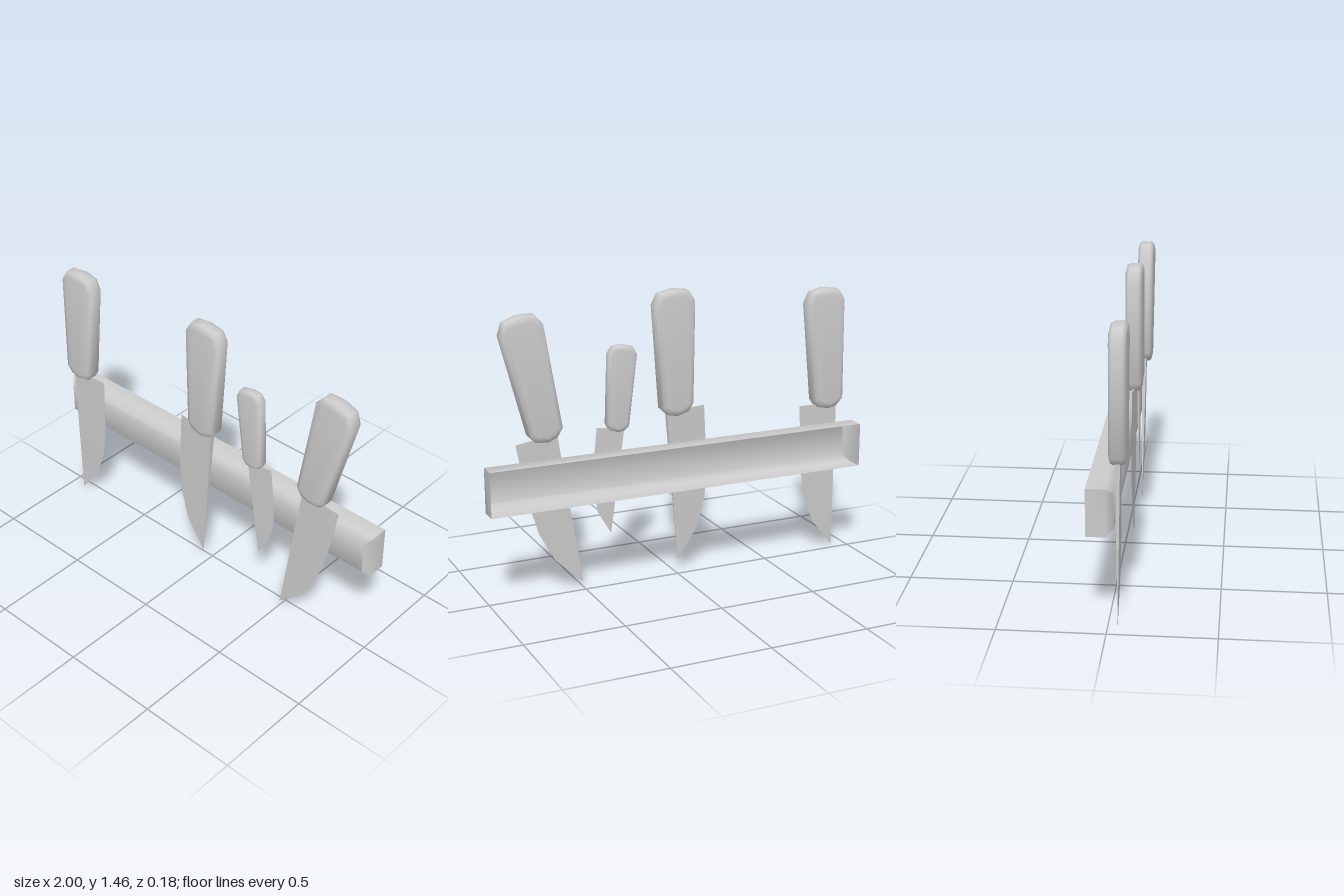
import * as THREE from 'three';
import { toCreasedNormals } from 'three/addons/utils/BufferGeometryUtils.js';

const grey = new THREE.MeshStandardMaterial({ color: 0xcccccc });
const greyDouble = new THREE.MeshStandardMaterial({ color: 0xcccccc, side: THREE.DoubleSide });

function indexed(positions, index) {
  const g = new THREE.BufferGeometry();
  g.setAttribute('position', new THREE.Float32BufferAttribute(positions, 3));
  g.setIndex(index);
  return g;
}

// Wall bar: a shell open at the back, with chamfered front edges
function rackGeometry() {
  const rings = [[0, -0.09], [0, 0.0], [0.03, 0.033]]; // inset, z
  const positions = [], index = [];
  for (const [inset, z] of rings) {
    const x = 1 - inset, y0 = 0.475 + inset, y1 = 0.7 - inset;
    positions.push(-x, y0, z, x, y0, z, x, y1, z, -x, y1, z);
  }
  for (let r = 0; r < rings.length - 1; r++) {
    for (let i = 0; i < 4; i++) {
      const a = r * 4 + i, b = r * 4 + (i + 1) % 4;
      index.push(a, b, b + 4, a, b + 4, a + 4);
    }
  }
  index.push(8, 9, 10, 8, 10, 11);
  return toCreasedNormals(indexed(positions, index), 1.0);
}

// Blade: tip at the origin, thick straight spine on x = 0, sharp curved edge on +x
function bladeGeometry() {
  const edge = [[0, 0], [0.12, 0.153], [0.176, 0.308], [0.2, 0.474], [0.21, 0.788]];
  const positions = [], index = [];
  for (const [x, y] of edge) {
    const half = 0.0115 * y / 0.788;
    positions.push(0, y, half, x, y, 0, 0, y, -half);
  }
  for (let r = 0; r < edge.length - 1; r++) {
    for (let i = 0; i < 3; i++) {
      const a = r * 3 + i, b = r * 3 + (i + 1) % 3;
      index.push(a, b + 3, b, a, a + 3, b + 3);
    }
  }
  // heel
  const n = (edge.length - 1) * 3;
  index.push(n, n + 1, n + 2);
  // front and back wind outwards from the spine
  for (let i = 0; i < index.length - 3; i += 3) {
    [index[i + 1], index[i + 2]] = [index[i + 2], index[i + 1]];
  }
  return toCreasedNormals(indexed(positions, index), 0.4);
}

// Handle: tapered outline with softly bevelled faces
function handleGeometry() {
  const outline = [
    [-0.03, 0.816], [0.003, 0.779], [0.051, 0.765], [0.115, 0.779], [0.142, 0.816],
    [0.192, 1.324], [0.163, 1.383], [0.088, 1.399], [0.008, 1.388], [-0.025, 1.335],
  ].map(([x, y]) => new THREE.Vector2(x, y));
  const g = new THREE.ExtrudeGeometry(new THREE.Shape(outline), {
    depth: 0.046, bevelEnabled: true, bevelThickness: 0.017,
    bevelSize: 0.028, bevelOffset: -0.028, bevelSegments: 2,
  });
  g.translate(0, 0, -0.023);
  return toCreasedNormals(g, 1.0);
}

export function createModel() {
  const model = new THREE.Group();
  model.name = 'knifeRack';

  const rack = new THREE.Mesh(rackGeometry(), greyDouble);
  rack.name = 'magneticBar';
  model.add(rack);

  const blade = bladeGeometry(), handle = handleGeometry();
  // tip position, tilt in degrees, scale, edge facing the other way
  const knives = [
    ['farRightKnife', -0.925, 0.006, 0, 1, false],
    ['middleKnife', -0.021, 0.062, -4.7, 1, true],
    ['paringKnife', 0.346, 0.264, 7.8, 0.68, false],
    ['farLeftKnife', 0.497, 0.03, -9, 1, false],
  ];
  for (const [name, x, y, tilt, scale, flip] of knives) {
    const knife = new THREE.Group();
    knife.name = name;
    const bladeMesh = new THREE.Mesh(blade, greyDouble);
    bladeMesh.name = 'blade';
    const handleMesh = new THREE.Mesh(handle, grey);
    handleMesh.name = 'handle';
    knife.add(bladeMesh, handleMesh);
    const a = THREE.MathUtils.degToRad(tilt);
    knife.rotation.set(0, flip ? Math.PI : 0, flip ? -a : a);
    knife.scale.setScalar(scale);
    knife.position.set(x, y, 0.03 + 0.015 * scale);
    model.add(knife);
  }
  return model;
}
